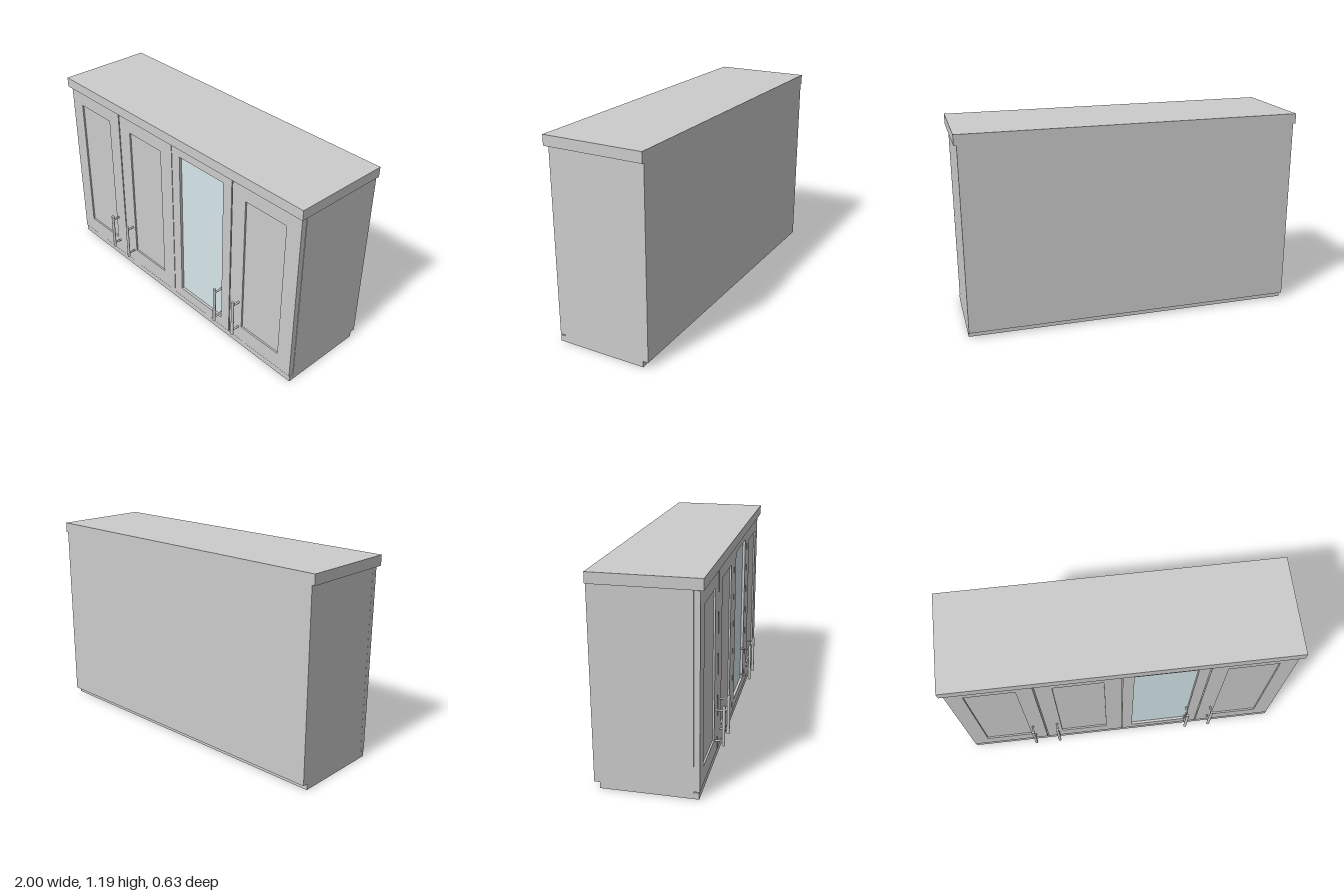
import * as THREE from 'three';

const grey = new THREE.MeshStandardMaterial({ color: 0xcccccc });
const glass = new THREE.MeshStandardMaterial({ color: 0xd6e6ea });

// Box given by its minimum and maximum along each axis
function box(name, [x0, x1], [y0, y1], [z0, z1], material = grey) {
  const mesh = new THREE.Mesh(new THREE.BoxGeometry(x1 - x0, y1 - y0, z1 - z0), material);
  mesh.position.set((x0 + x1) / 2, (y0 + y1) / 2, (z0 + z1) / 2);
  mesh.name = name;
  return mesh;
}

function rectangle(Type, [x0, x1], [y0, y1]) {
  return new Type([[x0, y0], [x1, y0], [x1, y1], [x0, y1]].map(([x, y]) => new THREE.Vector2(x, y)));
}

const DOOR_Y = [0.042, 1.125];
const DOOR_BACK = 0.226;
const DOOR_FRONT = 0.258;

// Frame with a recessed panel or pane
function door(name, xs, panelX, panelY, isGlass) {
  const group = new THREE.Group();
  group.name = name;
  const shape = rectangle(THREE.Shape, xs, DOOR_Y);
  shape.holes.push(rectangle(THREE.Path, panelX, panelY));
  const frame = new THREE.Mesh(
    new THREE.ExtrudeGeometry(shape, { depth: DOOR_FRONT - DOOR_BACK, bevelEnabled: false }), grey);
  frame.position.z = DOOR_BACK;
  frame.name = 'doorFrame';
  const front = isGlass ? 0.242 : 0.248;
  group.add(frame, box(isGlass ? 'glassPane' : 'doorPanel', panelX, panelY, [DOOR_BACK, front],
    isGlass ? glass : grey));
  return group;
}

// Round bar on two posts
function handle(x) {
  const group = new THREE.Group();
  group.name = 'handle';
  const bar = new THREE.Mesh(new THREE.CylinderGeometry(0.009, 0.009, 0.245, 20), grey);
  bar.position.set(x, 0.228, 0.307);
  bar.name = 'handleBar';
  group.add(bar);
  for (const y of [0.134, 0.322]) {
    const post = new THREE.Mesh(new THREE.CylinderGeometry(0.006, 0.006, 0.067, 16), grey);
    post.rotation.x = Math.PI / 2;
    post.position.set(x, y, 0.2735);
    post.name = 'handlePost';
    group.add(post);
  }
  return group;
}

export function createModel() {
  const model = new THREE.Group();
  model.name = 'wallCabinet';

  // Carcass, top slab and bottom rail
  model.add(
    box('carcass', [-0.985, 0.985], [0.036, 1.13], [-0.315, 0.225]),
    box('topSlab', [-1, 1], [1.13, 1.19], [-0.315, 0.278]),
    box('bottomPanel', [-0.985, 0.985], [0, 0.037], [-0.284, 0.255]),
  );

  // Three panelled doors and one glazed door
  const panelY = [0.145, 1.03];
  model.add(
    door('outerRightDoor', [-0.985, -0.501], [-0.887, -0.597], panelY),
    door('innerRightDoor', [-0.493, -0.004], [-0.395, -0.105], panelY),
    door('glassDoor', [0, 0.49], [0.065, 0.425], [0.106, 1.065], true),
    door('outerLeftDoor', [0.497, 0.983], [0.595, 0.885], panelY),
  );

  for (const x of [-0.573, -0.419, 0.416, 0.57]) model.add(handle(x));
  return model;
}
